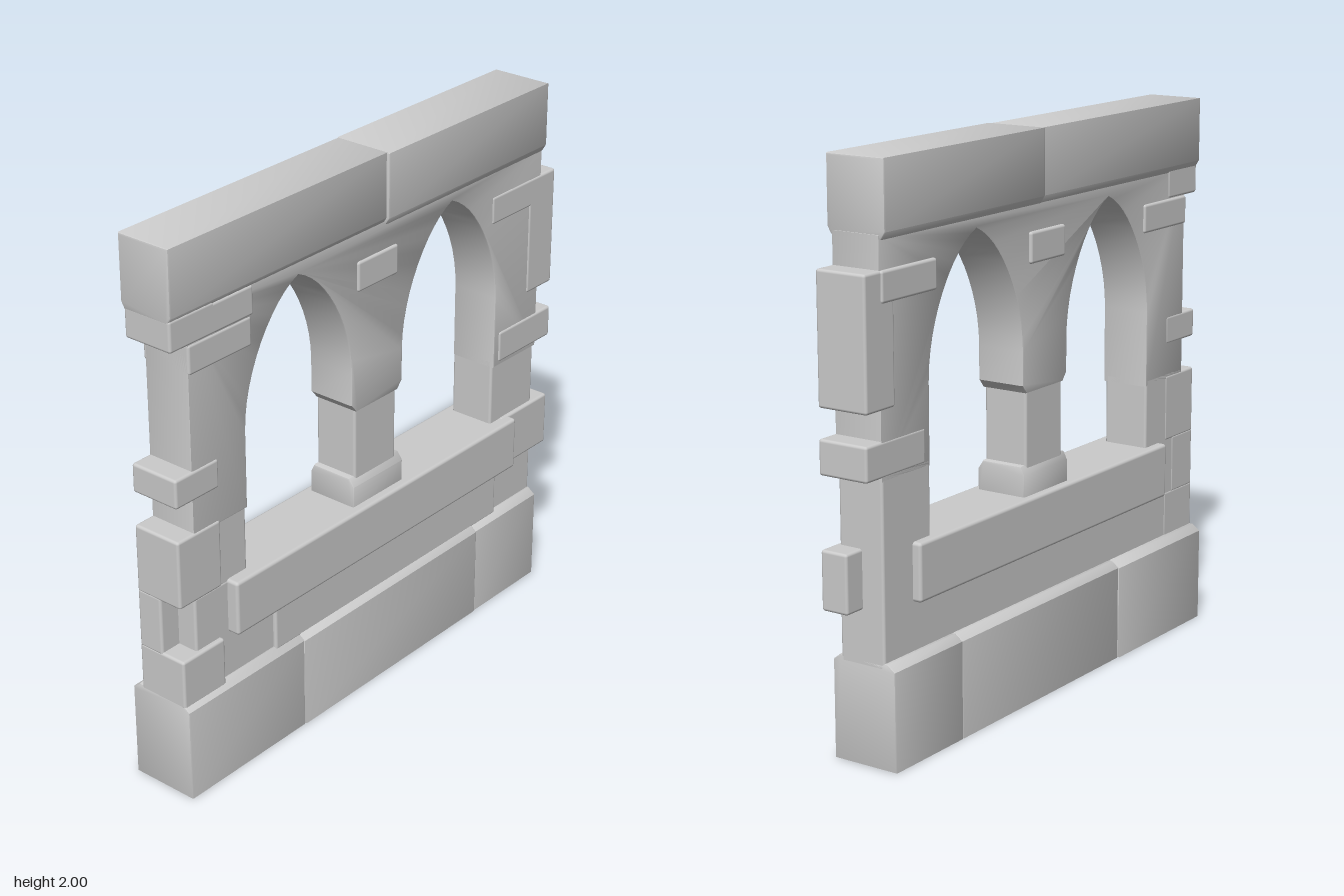
import * as THREE from 'three';
import { RoundedBoxGeometry } from 'three/addons/geometries/RoundedBoxGeometry.js';
import { toCreasedNormals } from 'three/addons/utils/BufferGeometryUtils.js';

const stone = new THREE.MeshStandardMaterial({ color: 0xcccccc });

export function createModel() {
  const model = new THREE.Group();

  const add = (name, geometry) => {
    const mesh = new THREE.Mesh(geometry, stone);
    mesh.name = name;
    model.add(mesh);
  };

  // Softly worn block given by its extents
  const block = (name, x0, x1, y0, y1, z0, z1, r = 0.01) => {
    const g = new RoundedBoxGeometry(x1 - x0, y1 - y0, z1 - z0, 2, r);
    g.translate((x0 + x1) / 2, (y0 + y1) / 2, (z0 + z1) / 2);
    add(name, g);
  };

  // Extrusion whose bevel stays inside the drawn outline and depth
  const bevelled = (shape, depth, b) => toCreasedNormals(new THREE.ExtrudeGeometry(shape, {
    depth: depth - 2 * b, curveSegments: 12, bevelEnabled: true,
    bevelThickness: b, bevelSize: b, bevelOffset: -b, bevelSegments: 2,
  }).translate(0, 0, b), 0.6);

  // Long course with a (z, y) section running along x
  const course = (name, x0, x1, section) => {
    const shape = new THREE.Shape(section.map(([z, y]) => new THREE.Vector2(-z, y)));
    const g = bevelled(shape, x1 - x0, 0.007);
    g.rotateY(Math.PI / 2);
    // the section's -z axis now lies along +z
    g.translate(x0, 0, 0);
    add(name, g);
  };

  // Base courses with weathered upper edges
  const base = (x0, x1, zb, zf) => course('baseCourse', x0, x1,
    [[zb, 0], [zf, 0], [zf, 0.345], [zf - 0.03, 0.368], [zb + 0.03, 0.368], [zb, 0.345]]);
  base(-1, -0.42, -0.135, 0.122);
  base(-0.425, 0.55, -0.13, 0.125);
  base(0.545, 0.92, -0.13, 0.122);

  // Top beam in two stones, undercut along the lower edges
  const beam = (x0, x1, zb, zf) => course('topBeam', x0, x1,
    [[zb + 0.015, 1.745], [zf - 0.015, 1.745], [zf, 1.77], [zf, 2], [zb, 2], [zb, 1.77]]);
  beam(-1, 0.04, -0.105, 0.105);
  beam(0.03, 0.915, -0.11, 0.117);

  // Upper wall with two pointed arches cut from below
  const wall = new THREE.Shape();
  wall.moveTo(-0.92, 0.97);
  wall.lineTo(-0.665, 0.97);
  for (const c of [-0.4, 0.4]) {
    const left = c < 0 ? 0.97 : 1.1;
    const right = c < 0 ? 1.1 : 0.97;
    const inset = 0.02;
    if (c > 0) wall.lineTo(0.13 - inset, left);
    if (c > 0) wall.lineTo(c - 0.265, 1.13);
    wall.lineTo(c - 0.265, 1.25);
    wall.bezierCurveTo(c - 0.265, 1.45, c - 0.13, 1.66, c, 1.71);
    wall.bezierCurveTo(c + 0.13, 1.66, c + 0.265, 1.45, c + 0.265, 1.25);
    if (c < 0) wall.lineTo(c + 0.265, 1.13);
    wall.lineTo(c < 0 ? -0.13 + inset : c + 0.265, right);
  }
  wall.lineTo(0.92, 0.97);
  wall.lineTo(0.92, 1.76);
  wall.lineTo(-0.92, 1.76);
  wall.closePath();
  add('archedWall', bevelled(wall, 0.185, 0.006).translate(0, 0, -0.09));

  // Lower wall, jambs and the pillar between the openings
  block('lowerWall', -0.92, 0.92, 0.34, 0.735, -0.09, 0.088);
  block('leftJamb', -0.92, -0.665, 0.71, 1.0, -0.09, 0.086);
  block('rightJamb', 0.665, 0.92, 0.71, 1.0, -0.09, 0.086);
  block('pillarShaft', -0.11, 0.11, 0.8, 1.14, -0.085, 0.086);
  course('pillarFoot', -0.135, 0.135,
    [[-0.095, 0.72], [0.1, 0.72], [0.1, 0.815], [0.08, 0.845], [-0.08, 0.845], [-0.095, 0.815]]);

  // Window sill
  block('windowSill', -0.765, 0.765, 0.535, 0.738, -0.122, 0.133, 0.012);

  // Interlocking end stones: x0, x1, y0, y1, z0, z1
  [
    [-1, -0.8, 0.35, 0.535, -0.092, 0.105],
    [-1, -0.85, 0.525, 0.745, -0.092, 0.01],
    [-1, -0.8, 0.735, 0.985, -0.092, 0.1],
    [-1, -0.8, 1.105, 1.21, -0.092, 0.1],
    [-1, -0.8, 1.65, 1.76, -0.093, 0.1],
    [0.72, 1, 0.535, 0.74, -0.005, 0.1],
    [0.69, 1, 0.985, 1.105, -0.092, 0.1],
    [0.85, 1, 1.205, 1.65, -0.095, 0.099],
  ].forEach(e => block('endStone', ...e));

  // Slightly proud facing stones, front and back
  [
    [-0.545, 0.69, 0.355, 0.53, 0.04, 0.101],
    [-0.92, -0.62, 1.65, 1.755, 0.04, 0.1],
    [-0.11, 0.1, 1.545, 1.655, -0.101, 0.103],
    [-0.92, -0.63, 1.545, 1.65, -0.098, 0.099],
    [0.63, 0.92, 1.545, 1.65, -0.101, 0.099],
  ].forEach(e => block('facingStone', ...e));

  return model;
}
